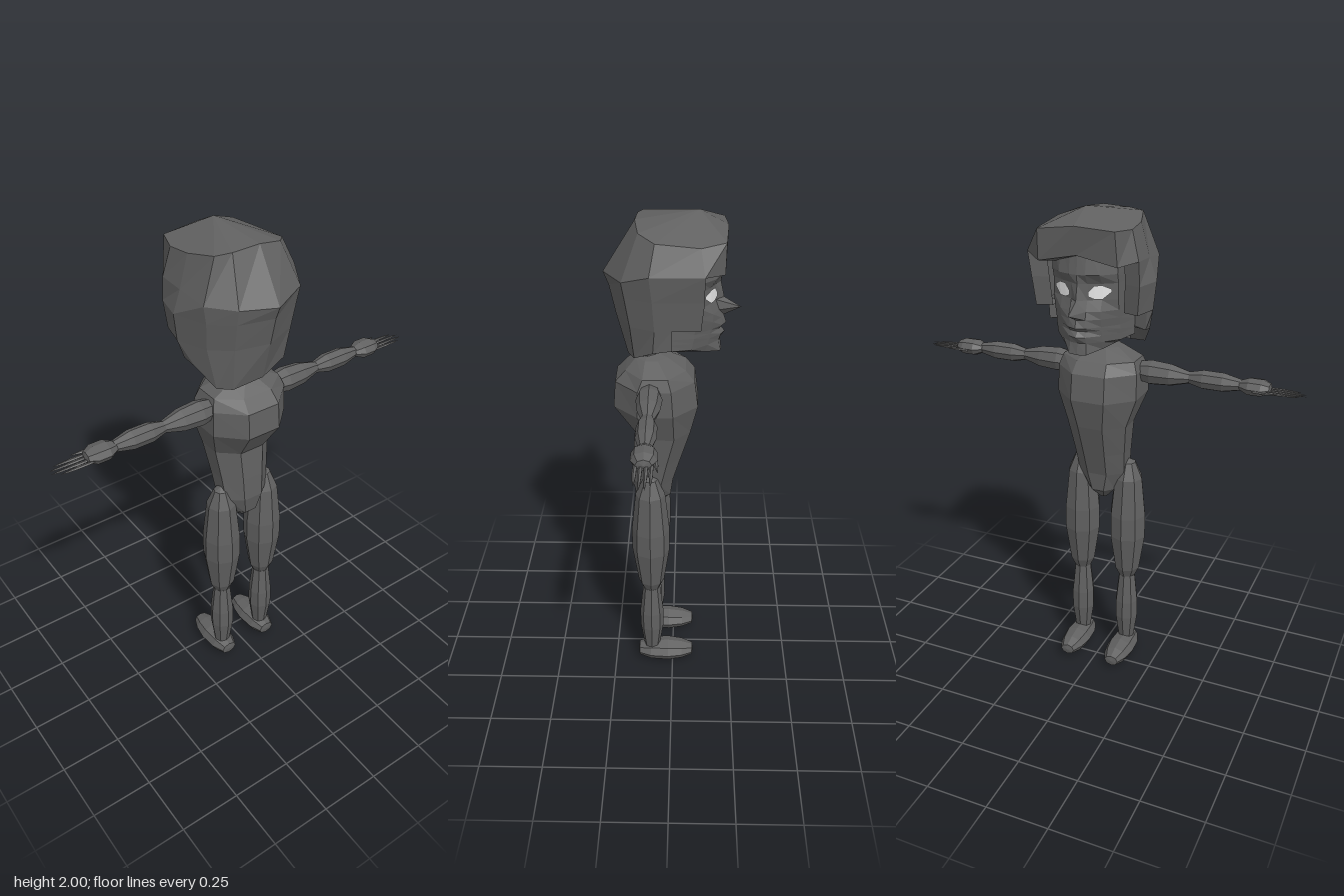
import * as THREE from 'three';

const grey = new THREE.MeshStandardMaterial({ color: 0x606060, flatShading: true, side: THREE.DoubleSide });
grey.name = 'charcoal grey';
const white = new THREE.MeshStandardMaterial({ color: 0xf0f0f0, flatShading: true, side: THREE.DoubleSide });
white.name = 'eye white';

function mesh(name, geometry, parent, material = grey) {
  const m = new THREE.Mesh(geometry, material);
  m.name = name;
  parent.add(m);
  return m;
}

// Skin between rows of [x, y, z] points; a row of one point closes the end
function loft(rows, closed = true) {
  const pos = [];
  for (let r = 0; r < rows.length - 1; r++) {
    const a = rows[r], b = rows[r + 1], n = Math.max(a.length, b.length);
    const at = (row, i) => row[i % row.length];
    for (let i = 0; i < (closed ? n : n - 1); i++) {
      if (a.length > 1) pos.push(...at(a, i), ...at(b, i + 1), ...at(a, i + 1));
      if (b.length > 1) pos.push(...at(a, i), ...at(b, i), ...at(b, i + 1));
    }
  }
  const g = new THREE.BufferGeometry();
  g.setAttribute('position', new THREE.Float32BufferAttribute(pos, 3));
  g.computeVertexNormals();
  return g;
}

// Eight-sided ring with half-width w, from zFront to zBack
function ring(y, w, zFront, zBack) {
  return Array.from({ length: 8 }, (_, i) => {
    const t = (i + 0.5) * Math.PI / 4, k = 1 / Math.cos(Math.PI / 8);
    return [Math.sin(t) * w * k, y, (zFront + zBack) / 2 - Math.cos(t) * (zBack - zFront) / 2 * k];
  });
}

// Faceted spindle along y from [radius, y] pairs
function spindle(profile, sides = 8) {
  return new THREE.LatheGeometry(profile.map(p => new THREE.Vector2(...p)), sides);
}

function addTorso(root) {
  const rows = [[0.77, 0.015, 0.06, 0.1], [0.82, 0.06, 0.01, 0.15], [0.9, 0.1, 0.0, 0.165],
    [1.0, 0.11, -0.03, 0.16], [1.13, 0.127, -0.07, 0.15], [1.25, 0.168, -0.098, 0.228],
    [1.355, 0.165, -0.085, 0.22], [1.4, 0.15, -0.05, 0.18], [1.44, 0.07, 0.02, 0.14]].map(r => ring(...r));
  mesh('torso', loft([[[0, 0.77, 0.08]], ...rows, [[0, 1.46, 0.09]]]), root);
  const neck = mesh('neck', spindle([[0.045, 0], [0.036, 0.06], [0.04, 0.15]]), root);
  neck.position.set(0, 1.42, 0.1);
  neck.rotation.x = -0.15;
}

function addLeg(root, s) {
  const leg = new THREE.Group();
  leg.name = s > 0 ? 'leftLeg' : 'rightLeg';
  leg.position.set(s * 0.105, 0, 0.09);
  mesh('thigh', spindle([[0, 0.39], [0.035, 0.4], [0.054, 0.44], [0.078, 0.6], [0.078, 0.7], [0.06, 0.87], [0.03, 0.94], [0, 0.955]]), leg);
  mesh('calf', spindle([[0, 0.06], [0.034, 0.08], [0.05, 0.19], [0.05, 0.27], [0.036, 0.4], [0, 0.41]]), leg);
  const foot = mesh('foot', spindle([[0, 0], [0.035, 0.004], [0.055, 0.055], [0.06, 0.13], [0.05, 0.19], [0.03, 0.236], [0, 0.24]]), leg);
  foot.rotation.x = -Math.PI / 2;
  foot.scale.set(1, 1, 0.75);
  foot.position.set(0, 0.05, 0.06);
  root.add(leg);
}

function addArm(root, s) {
  const arm = new THREE.Group();
  arm.name = s > 0 ? 'leftArm' : 'rightArm';
  arm.position.set(0, 1.345, 0.085);
  const along = (name, profile, flat = 1, sides = 8) => {
    const m = mesh(name, spindle(profile, sides), arm);
    m.rotation.z = -s * Math.PI / 2;
    m.scale.x = flat;
    return m;
  };
  along('upperArm', [[0, 0.12], [0.038, 0.14], [0.05, 0.2], [0.044, 0.28], [0.022, 0.36], [0, 0.37]]);
  along('forearm', [[0, 0.34], [0.024, 0.355], [0.038, 0.41], [0.038, 0.49], [0.022, 0.56], [0, 0.57]]);
  along('palm', [[0, 0.55], [0.025, 0.555], [0.046, 0.59], [0.046, 0.64], [0.028, 0.67], [0, 0.675]], 0.72);
  // Four slender fingers and a thumb
  [[-0.027, 0.79], [-0.009, 0.81], [0.01, 0.81], [0.028, 0.785]].forEach(([z, tip]) => {
    const f = along('finger', [[0, 0.64], [0.007, 0.65], [0.008, 0.71], [0.005, tip - 0.03], [0, tip]], 0.6, 5);
    f.position.set(0, -0.008, z);
  });
  const thumb = along('thumb', [[0, 0], [0.01, 0.02], [0.008, 0.07], [0, 0.12]], 0.7, 5);
  thumb.position.set(s * 0.595, -0.005, -0.034);
  thumb.rotation.y = s * 0.12;
  root.add(arm);
}

// Face columns run from the middle outward, then are mirrored
function mirrorRow(half) {
  return [...half.slice(1).reverse(), ...half.map(([x, y, z]) => [-x, y, z])];
}

function addFace(head) {
  const xs = [0, 0.032, 0.08, 0.13, 0.15];
  const rows = [
    [1.88, -0.165, -0.16, -0.14, -0.1, 0.02],
    [1.77, -0.182, -0.178, -0.16, -0.11, 0.02],
    [1.735, -0.177, -0.158, -0.135, -0.1, 0.02],
    [1.675, -0.19, -0.158, -0.135, -0.1, 0.02],
    [1.635, -0.255, -0.172, -0.15, -0.095, 0.02],
    [1.605, -0.19, -0.18, -0.148, -0.088, 0.02],
    [1.575, -0.2, -0.185, -0.14, -0.08, 0.02],
    [1.56, -0.178, -0.17, -0.138, -0.08, 0.02],
    [1.54, -0.195, -0.18, -0.135, -0.075, 0.02],
    [1.515, -0.178, -0.172, -0.13, -0.07, 0.02],
  ].map(([y, ...z]) => mirrorRow(xs.map((x, i) => [x, y, z[i]])));
  const jaw = mirrorRow([[0, 1.47, -0.183], [0.035, 1.472, -0.178], [0.075, 1.485, -0.12], [0.11, 1.5, -0.06], [0.13, 1.52, 0.02]]);
  const under = mirrorRow([[0, 1.52, 0.08], [0.03, 1.52, 0.08], [0.06, 1.52, 0.08], [0.09, 1.52, 0.08], [0.12, 1.53, 0.08]]);
  mesh('face', loft([...rows, jaw, under], false), head);

  // Almond eyes set beneath the brow
  for (const s of [1, -1]) {
    const row = ys => [0.036, 0.058, 0.085, 0.112].map((x, i) => [s * x, ys[i], [-0.163, -0.154, -0.14, -0.119][i]]);
    mesh('eye', loft([row([1.705, 1.73, 1.73, 1.715]), row([1.69, 1.68, 1.68, 1.705])], false), head, white);
  }
}

function addHair(head) {
  const crown = [[0, 1.945, -0.2], [0.15, 1.925, -0.19], [0.185, 1.915, -0.1], [0.185, 1.93, 0.06], [0.13, 1.95, 0.12],
    [0.03, 1.97, 0.135], [-0.08, 1.965, 0.13], [-0.14, 1.96, 0.11], [-0.175, 1.94, 0], [-0.18, 1.93, -0.1], [-0.15, 1.935, -0.19]];
  const brim = [[0, 1.84, -0.185], [0.15, 1.81, -0.187], [0.23, 1.825, -0.115], [0.23, 1.825, 0.08], [0.18, 1.79, 0.18],
    [0.03, 1.78, 0.255], [-0.11, 1.79, 0.21], [-0.2, 1.8, 0.13], [-0.21, 1.815, 0], [-0.21, 1.82, -0.11], [-0.16, 1.81, -0.187]];
  mesh('hairCrown', loft([[[0, 2, -0.095]], crown, brim]), head);

  // Underside of the fringe
  const fringe = [9, 10, 0, 1, 2].map(i => brim[i]);
  mesh('fringe', loft([fringe, fringe.map(([x, y, z]) => [x * 0.7, y - 0.01, z + 0.06])], false), head);

  // Side locks and back, wrapping in at the open front edges
  const lock = row => {
    const a = row[0], b = row[row.length - 1];
    return [[a[0] * 0.7, a[1], a[2] + 0.02], ...row, [b[0] * 0.7, b[1], b[2] + 0.02]];
  };
  const side = y => [[0.215, y, -0.115], [0.22, y, 0.07], [0.175, y, 0.17], [0.03, y, 0.235],
    [-0.11, y, 0.2], [-0.19, y, 0.13], [-0.24, y, 0], [-0.215, y, -0.11]];
  const low = side(1.62).map(([x, y, z]) => [x * 0.95, y, z * 0.9]);
  const step = low.map(([x, y, z]) => [x, y, Math.max(z, 0)]);
  const hem = [[0.2, 1.54, 0], [0.2, 1.53, 0.07], [0.15, 1.49, 0.14], [0.03, 1.46, 0.17],
    [-0.1, 1.45, 0.165], [-0.15, 1.455, 0.13], [-0.195, 1.53, 0.06], [-0.2, 1.54, 0]];
  const inner = hem.map(([x, y, z]) => [x * 0.65, y + 0.01, z * 0.7 + 0.01]);
  mesh('hairBack', loft([brim.slice(2, 10), side(1.73), low, step, hem, inner].map(lock), false), head);
}

export function createModel() {
  const root = new THREE.Group();
  root.name = 'figure';
  addTorso(root);
  for (const s of [1, -1]) {
    addLeg(root, s);
    addArm(root, s);
  }
  const head = new THREE.Group();
  head.name = 'head';
  addFace(head);
  addHair(head);
  root.add(head);
  return root;
}
